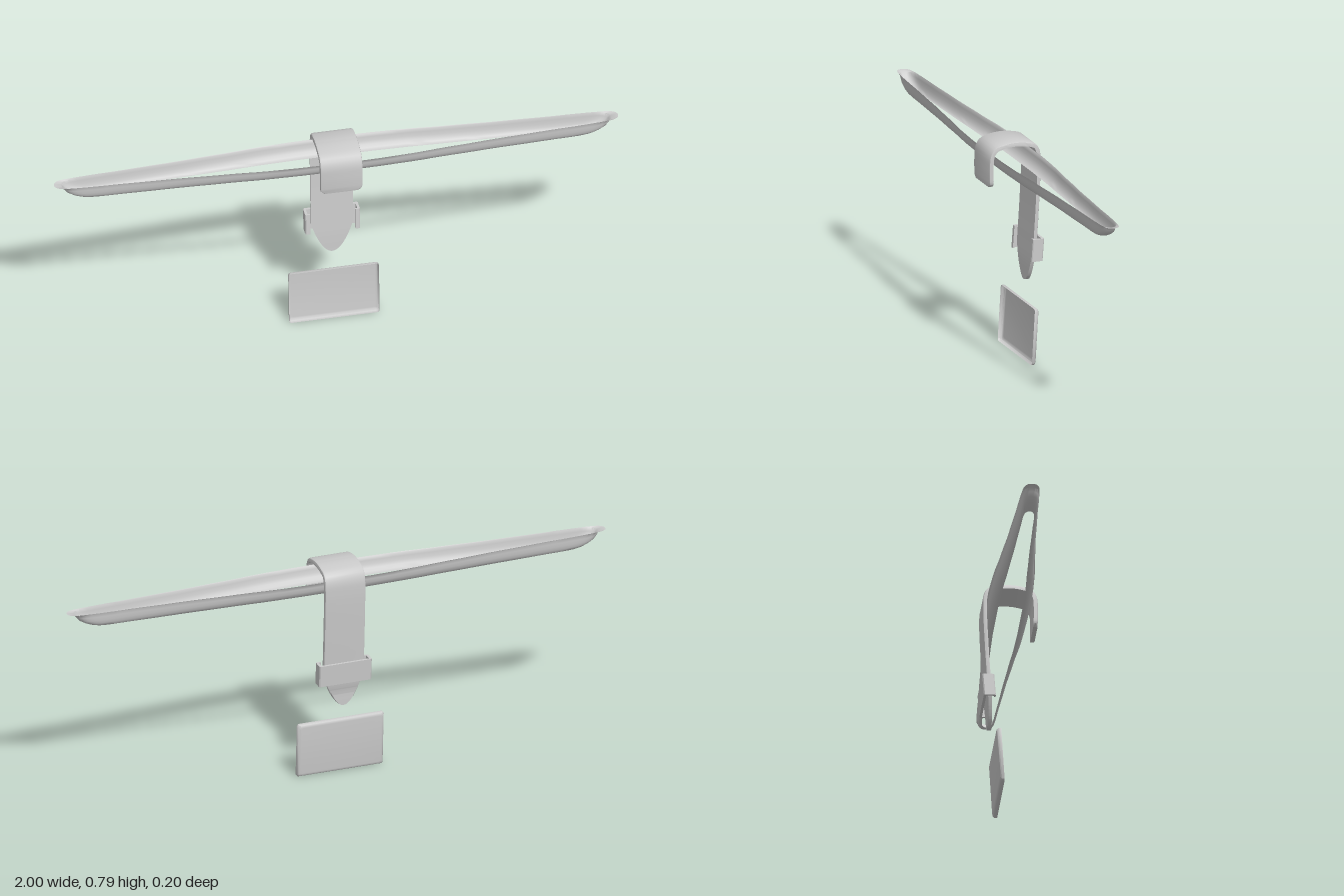
import * as THREE from 'three';
import { toCreasedNormals } from 'three/addons/utils/BufferGeometryUtils.js';

const material = new THREE.MeshStandardMaterial({ color: 0xcccccc, side: THREE.DoubleSide });

// Skin a list of closed rings (each an array of [x, y, z])
function loft(rings, crease = 0.7) {
  const n = rings[0].length, index = [];
  for (let i = 0; i < rings.length - 1; i++) {
    for (let j = 0; j < n; j++) {
      const k = (j + 1) % n;
      const a = i * n + j, b = i * n + k, d = a + n, c = b + n;
      index.push(a, d, b, b, d, c);
    }
  }
  const g = new THREE.BufferGeometry();
  g.setAttribute('position', new THREE.Float32BufferAttribute(rings.flat(2), 3));
  g.setIndex(index);
  return toCreasedNormals(g, crease);
}

function add(group, name, geometry) {
  const mesh = new THREE.Mesh(geometry, material);
  mesh.name = name;
  group.add(mesh);
  return mesh;
}

// Half depth of the long bar along its length
const HALF_DEPTH = [[0, 0.077], [0.12, 0.077], [0.25, 0.072], [0.4, 0.06], [0.6, 0.047], [0.8, 0.037], [1, 0.028]];
function halfDepth(x) {
  const ax = Math.abs(x);
  for (let i = 1; i < HALF_DEPTH.length; i++) {
    const [x0, w0] = HALF_DEPTH[i - 1], [x1, w1] = HALF_DEPTH[i];
    if (ax <= x1) return THREE.MathUtils.lerp(w0, w1, THREE.MathUtils.smoothstep(ax, x0, x1) * 0.4 + 0.6 * (ax - x0) / (x1 - x0));
  }
  return 0.028;
}

// Long tapered frame: flared rim, curved walls, open above and below
function barGeometry() {
  const profile = [ // half length, depth scale, height
    [1, 1, 0.745], [0.975, 0.965, 0.742], [0.968, 0.945, 0.73], [0.957, 0.91, 0.716],
    [0.937, 0.84, 0.704], [0.915, 0.73, 0.695], [0.9, 0.63, 0.691], [0.89, 0.55, 0.69],
  ];
  const N = 64;
  return loft(profile.map(([len, scale, y]) => {
    const ring = [];
    for (const side of [1, -1]) {
      for (let i = 0; i < N; i++) {
        const s = side * Math.sin(-Math.PI / 2 + Math.PI * i / N);
        const round = Math.sqrt(Math.max(0, 1 - Math.abs(s) ** 60));
        ring.push([s * len, y, side * halfDepth(s * len) * scale * round]);
      }
    }
    return ring;
  }), 1);
}

// Hooked strap: front flap, over the bar, down the back to a rounded tip
function strapGeometry() {
  const path = new THREE.CatmullRomCurve3([
    [0.635, 0.09], [0.7, 0.091], [0.745, 0.087], [0.767, 0.073], [0.778, 0.04], [0.782, 0],
    [0.778, -0.04], [0.767, -0.073], [0.745, -0.084], [0.7, -0.087], [0.55, -0.081],
    [0.42, -0.073], [0.34, -0.068], [0.265, -0.066],
  ].map(([y, z]) => new THREE.Vector3(0, y, z)));
  const section = [[-1, -1], [1, -1], [1, 0.1], [0.98, 0.7], [0.92, 1], [-0.92, 1], [-0.98, 0.7], [-1, 0.1]];
  const rings = [], N = 120;
  for (let i = 0; i <= N; i++) {
    const t = Math.sin(Math.PI / 2 * i / N);
    const p = path.getPointAt(t), d = path.getTangentAt(t);
    let w = 0.075;
    if (p.z < 0 && p.y < 0.385) w *= Math.sqrt(Math.max(0, (p.y - 0.265) / 0.12));
    if (p.z > 0 && p.y < 0.65) w -= 0.012 * ((0.65 - p.y) / 0.015) ** 2;
    const h = 0.0075;
    const ring = section.map(([s, n]) => [s * w, p.y - d.z * n * h, p.z + d.y * n * h]);
    if (i === 0) rings.push(ring.map(() => [0, p.y, p.z]));
    rings.push(ring);
    if (i === N) rings.push(ring.map(() => [0, p.y, p.z]));
  }
  return loft(rings);
}

// C-shaped clip around the back of the strap, leaning with it
function clipGeometry() {
  const half = [[0.08, 0.056], [0.08, 0.05], [0.094, 0.05], [0.097, 0.053], [0.097, 0.088], [0.093, 0.092]];
  const inner = [[0.088, 0.083], [0.088, 0.056]];
  const mirror = (pts) => pts.map(([x, y]) => [-x, y]).reverse();
  const outline = [...half, ...mirror(half), ...mirror(inner), ...inner];
  const shape = new THREE.Shape(outline.map(([x, y]) => new THREE.Vector2(x, y)));
  const g = new THREE.ExtrudeGeometry(shape, { depth: 0.08, bevelEnabled: false });
  g.rotateX(-Math.PI / 2);
  const p = g.attributes.position;
  for (let i = 0; i < p.count; i++) p.setZ(i, p.getZ(i) - 0.075 * p.getY(i));
  g.translate(0, 0.355, 0);
  return toCreasedNormals(g, 0.6);
}

// Shallow tray, open at the front, with rounded back edges
function trayGeometry() {
  const profile = [ // inset, distance behind the front edge
    [0, 0], [0, 0.009], [0.002, 0.013], [0.006, 0.016], [0.012, 0.017],
  ];
  const corners = [[1, 1], [-1, 1], [-1, -1], [1, -1]];
  const place = (x, y, depth) => [x, 0.101 + y, -0.031 - 0.06 * y - depth];
  const rings = profile.map(([inset, depth]) => corners.flatMap(([sx, sy], c) => {
    const r = 0.008, ring = [];
    for (let k = 0; k <= 4; k++) {
      const a = (c + k / 4) * Math.PI / 2;
      ring.push(place(sx * (0.16 - inset - r) + r * Math.cos(a), sy * (0.101 - inset - r) + r * Math.sin(a), depth));
    }
    return ring;
  }));
  rings.push(rings[0].map(() => place(0, 0, 0.017)));
  return loft(rings, 0.8);
}

export function createModel() {
  const group = new THREE.Group();
  group.name = 'hangingBarWithStrap';
  add(group, 'longBar', barGeometry());
  add(group, 'hookStrap', strapGeometry());
  add(group, 'strapClip', clipGeometry());
  add(group, 'lowerTray', trayGeometry());
  return group;
}
